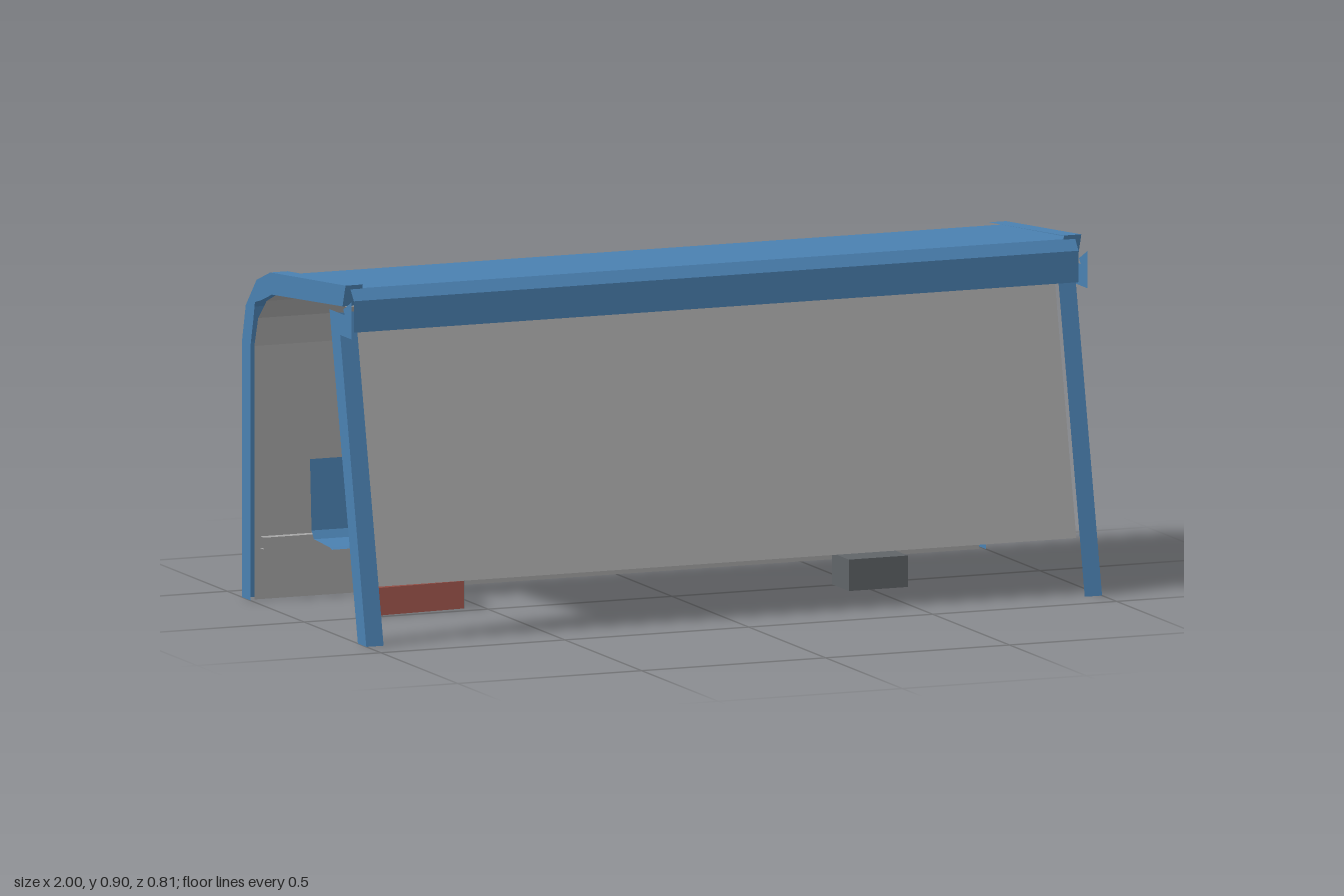
import * as THREE from 'three';

const mat = (name, color) => {
  const m = new THREE.MeshStandardMaterial({ color, side: THREE.DoubleSide });
  m.name = name;
  return m;
};

export function createModel() {
  const model = new THREE.Group();
  const blue = mat('steel blue', 0x4a80b0);
  const grey = mat('panel grey', 0xa6a6a6);
  const red = mat('brick red', 0xa85a50);
  const dark = mat('dark grey', 0x606468);

  const add = (name, geometry, material, parent = model) => {
    const mesh = new THREE.Mesh(geometry, material);
    mesh.name = name;
    parent.add(mesh);
    return mesh;
  };

  // Folded sheet: a [z, y] profile swept along x, with sharp folds
  const sheet = (profile, x0, x1) => {
    const p = [];
    for (let i = 0; i + 1 < profile.length; i++) {
      const [za, ya] = profile[i], [zb, yb] = profile[i + 1];
      p.push(x0, ya, za, x1, ya, za, x1, yb, zb, x0, ya, za, x1, yb, zb, x0, yb, zb);
    }
    const g = new THREE.BufferGeometry();
    g.setAttribute('position', new THREE.Float32BufferAttribute(p, 3));
    g.computeVertexNormals();
    return g;
  };

  // Flat plate: a closed [z, y] outline standing at one x
  const plate = (outline, x) => {
    const shape = new THREE.Shape(outline.map(([z, y]) => new THREE.Vector2(z, y)));
    return new THREE.ShapeGeometry(shape).rotateY(-Math.PI / 2).translate(x, 0, 0);
  };

  // Roof and back wall skin, its lining and the window pane
  add('roofAndBackWall', sheet([[-0.397, 0], [-0.397, 0.65], [-0.372, 0.743], [-0.305, 0.815],
    [-0.215, 0.848], [0.265, 0.888]], -0.985, 0.985), blue);
  add('innerLining', sheet([[0.25, 0.84], [-0.21, 0.8], [-0.28, 0.772], [-0.335, 0.72],
    [-0.36, 0.645], [-0.36, 0]], -0.985, 0.985), grey);
  add('backWindow', sheet([[-0.401, 0.565], [-0.401, 0.12]], -0.925, 0.925), grey);

  // Front fascia and leaning front panel
  add('frontFascia', sheet([[0.265, 0.888], [0.288, 0.86], [0.288, 0.78]], -0.985, 0.985), blue);
  add('frontPanel', sheet([[0.201, 0.79], [0.345, 0.14]], -0.955, 0.955), grey);

  // End frames: side plates with folded flanges on the straight runs
  const roofPlate = [[0.27, 0.898], [-0.22, 0.855], [-0.31, 0.822], [-0.38, 0.747],
    [-0.28, 0.775], [-0.21, 0.8], [0.25, 0.842]];
  const backPlate = [[-0.405, 0], [-0.405, 0.65], [-0.38, 0.747], [-0.32, 0.765],
    [-0.33, 0.72], [-0.35, 0.645], [-0.35, 0]];
  const frontPlate = [[0.405, 0], [0.235, 0.767], [0.31, 0.767], [0.31, 0.862],
    [0.255, 0.835], [0.265, 0.822], [0.165, 0.822], [0.35, 0]];
  for (const side of [-1, 1]) {
    const frame = new THREE.Group();
    frame.name = side > 0 ? 'leftFrame' : 'rightFrame';
    model.add(frame);
    add('roofRailSide', plate(roofPlate, side), blue, frame);
    add('backPostSide', plate(backPlate, side), blue, frame);
    add('frontPostSide', plate(frontPlate, side), blue, frame);
    const inner = side * 0.953;
    add('roofRailFlange', sheet([[-0.22, 0.855], [0.27, 0.898], [0.25, 0.842]], inner, side), blue, frame);
    add('backPostFlange', sheet([[-0.405, 0], [-0.405, 0.65]], inner, side), blue, frame);
    add('frontPostFlange', sheet([[0.405, 0], [0.235, 0.767], [0.223, 0.822]], inner, side), blue, frame);
  }

  // Bench hung on the back wall
  add('bench', sheet([[-0.345, 0.35], [-0.335, 0.17], [-0.32, 0.15], [-0.22, 0.146], [-0.2, 0.142]],
    -0.84, 0.84), blue);
  add('benchRail', sheet([[-0.358, 0.16], [-0.335, 0.16], [-0.335, 0.13], [-0.358, 0.13]], -0.97, 0.97), grey);
  add('benchBracket', sheet([[-0.18, 0.142], [-0.18, 0.112], [-0.2, 0.112], [-0.2, 0.142]], -0.08, 0.085), grey);

  // Open carton with leaning flaps, turned slightly
  const carton = new THREE.Group();
  carton.name = 'carton';
  carton.position.set(-0.675, 0, -0.085);
  carton.rotation.y = 0.07;
  model.add(carton);
  add('cartonShell', sheet([[0.03, 0.114], [0.06, 0.07], [0.06, 0], [-0.06, 0], [-0.06, 0.07],
    [-0.04, 0.113]], -0.12, 0.12), red, carton);
  for (const x of [-0.121, 0.121]) {
    add('cartonEnd', plate([[0.06, 0], [0.06, 0.075], [-0.03, 0.112], [-0.042, 0.112],
      [-0.06, 0.07], [-0.06, 0]], x), dark, carton);
  }

  // Small dark box on the floor
  add('floorBox', new THREE.BoxGeometry(0.16, 0.08, 0.11).translate(0.52, 0.04, 0.043), dark);

  return model;
}
